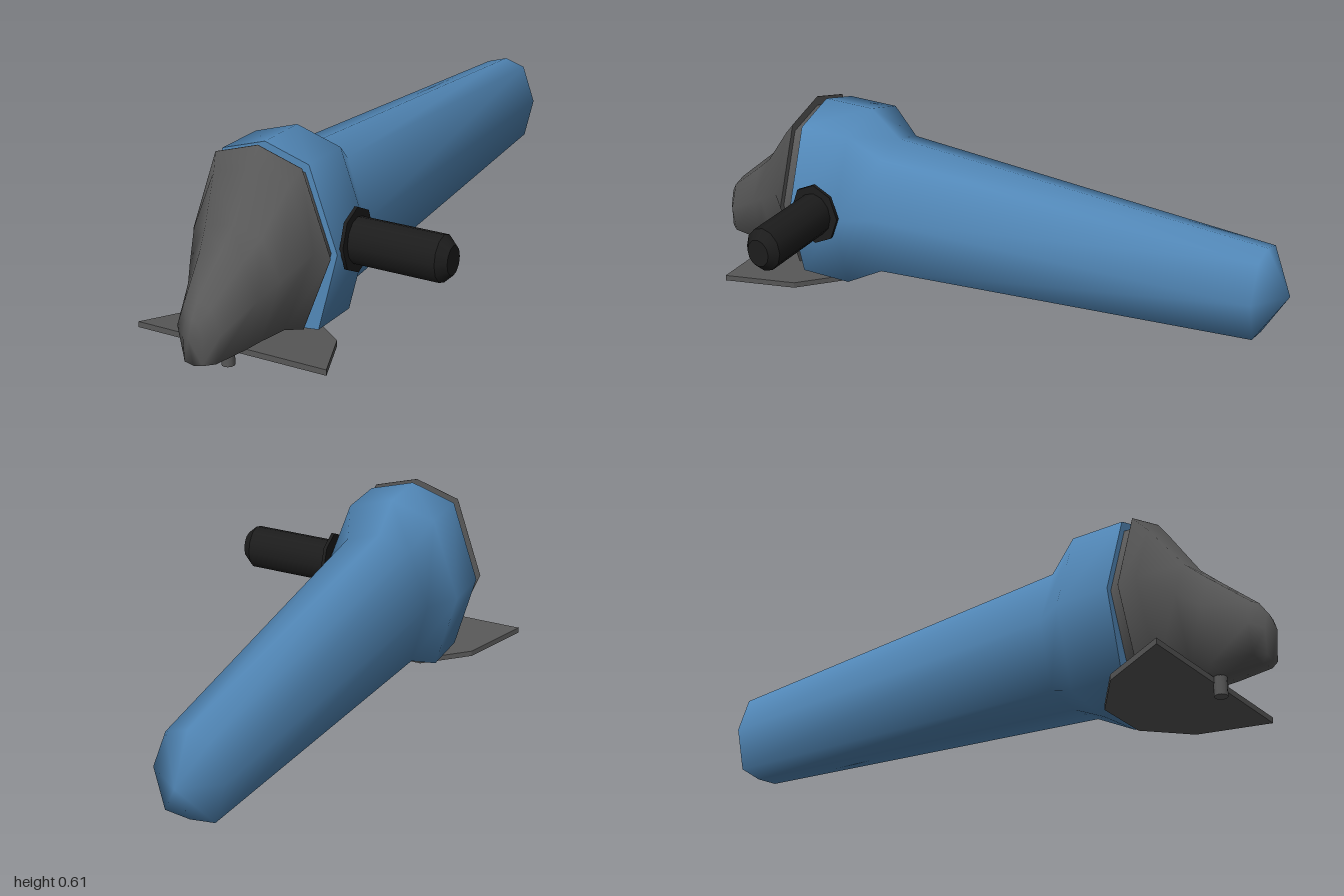
import * as THREE from 'three';
import { mergeVertices } from 'three/addons/utils/BufferGeometryUtils.js';

const CX = -0.115; // centre line of the hull

const paint = (color) => new THREE.MeshStandardMaterial({ color, side: THREE.DoubleSide });
const blue = paint(0x5288b8), grey = paint(0x585858), black = paint(0x1c1c1c);

function add(parent, name, geometry, material) {
  const mesh = new THREE.Mesh(geometry, material);
  mesh.name = name;
  parent.add(mesh);
  return mesh;
}

// Tall eight-sided outline, clockwise from the top when seen from the front
function outline([z, top, mid, bottom, half, low]) {
  const yHigh = mid + 0.85 * (top - mid), yLow = mid - 0.93 * (mid - bottom);
  return [
    [0, top], [0.62 * half, yHigh], [half, mid], [low, yLow],
    [0, bottom], [-low, yLow], [-half, mid], [-0.62 * half, yHigh],
  ].map(([x, y]) => [x, y, z]);
}

// Skin through outlines listed front to back: [z, top, mid, bottom, half width, lower half width]
function loft(sections) {
  const pos = sections.flatMap((s) => outline(s).flat());
  const index = [];
  for (let i = 0; i < sections.length - 1; i++) {
    for (let j = 0; j < 8; j++) {
      const a = i * 8 + j, b = i * 8 + (j + 1) % 8;
      index.push(a, b, a + 8, b, b + 8, a + 8);
    }
  }
  // Flat end caps with their own corners, set in by a hair so the rims stay sharp
  for (const front of [true, false]) {
    const s = sections[front ? 0 : sections.length - 1];
    if (s[4] === 0) continue;
    const base = pos.length / 3;
    for (const [x, y, z] of outline(s)) pos.push(x, y, z + (front ? -0.0005 : 0.0005));
    for (let j = 1; j < 7; j++) {
      if (front) index.push(base, base + j + 1, base + j);
      else index.push(base, base + j, base + j + 1);
    }
  }
  let g = new THREE.BufferGeometry();
  g.setAttribute('position', new THREE.Float32BufferAttribute(pos, 3));
  g.setIndex(index);
  g = mergeVertices(g, 1e-5);
  g.computeVertexNormals();
  g.translate(CX, 0, 0);
  return g;
}

export function createModel() {
  const model = new THREE.Group();
  model.name = 'model';

  // Long tapering hull with a bulged front
  add(model, 'hull', loft([
    [0.6, 0.605, 0.305, 0.04, 0.235, 0.168],
    [0.43, 0.605, 0.305, 0.04, 0.235, 0.168],
    [0.33, 0.522, 0.305, 0.088, 0.174, 0.124],
    [-0.92, 0.445, 0.305, 0.167, 0.11, 0.078],
    [-1, 0.305, 0.305, 0.305, 0, 0],
  ]), blue);

  // Recessed band between hull and nose
  add(model, 'collar', loft([
    [0.637, 0.575, 0.305, 0.065, 0.215, 0.13],
    [0.595, 0.575, 0.305, 0.065, 0.215, 0.13],
  ]), grey);

  // Sloping nose, narrowing towards its underside
  add(model, 'nose', loft([
    [1, 0.155, 0.155, 0.155, 0, 0],
    [0.98, 0.205, 0.15, 0.066, 0.033, 0.03],
    [0.95, 0.25, 0.16, 0.064, 0.072, 0.055],
    [0.83, 0.355, 0.23, 0.058, 0.118, 0.075],
    [0.77, 0.41, 0.27, 0.056, 0.152, 0.082],
    [0.675, 0.55, 0.33, 0.053, 0.203, 0.1],
    [0.635, 0.605, 0.305, 0.05, 0.235, 0.14],
  ]), grey);

  // Swept plate under the nose, sinking towards the back
  const plan = new THREE.Shape([
    [-0.321, -0.805], [0.321, -0.805], [0.23, -0.6], [0.09, -0.49], [-0.09, -0.49], [-0.23, -0.6],
  ].map(([x, y]) => new THREE.Vector2(x, y)));
  const plate = new THREE.ExtrudeGeometry(plan, { depth: 0.018, bevelEnabled: false });
  plate.rotateX(-Math.PI / 2);
  const p = plate.attributes.position;
  for (let i = 0; i < p.count; i++) p.setY(i, p.getY(i) + 0.038 - (0.805 - p.getZ(i)) * 0.08);
  plate.computeVertexNormals();
  plate.translate(CX, 0, 0);
  add(model, 'finPlate', plate, grey);

  // Small peg beneath the plate
  const peg = new THREE.CylinderGeometry(0.02, 0.02, 0.058, 12);
  add(model, 'peg', peg, grey).position.set(CX, 0.029, 0.815);

  // Side arm: mounting stub, flange and a rod with a chamfered end
  const arm = new THREE.Group();
  arm.name = 'sideArm';
  arm.position.set(0, 0.318, 0.5);
  arm.scale.z = 0.84;
  const rod = (name, r1, r2, x1, x2, sides) => {
    const g = new THREE.CylinderGeometry(r2, r1, x2 - x1, sides);
    g.rotateZ(-Math.PI / 2);
    g.translate((x1 + x2) / 2, 0, 0);
    add(arm, name, g, black);
  };
  rod('stub', 0.05, 0.05, 0.04, 0.12, 8);
  rod('flange', 0.101, 0.101, 0.118, 0.129, 8);
  rod('rod', 0.072, 0.072, 0.125, 0.408, 12);
  rod('rodEnd', 0.072, 0.045, 0.408, 0.437, 12);
  model.add(arm);

  return model;
}
